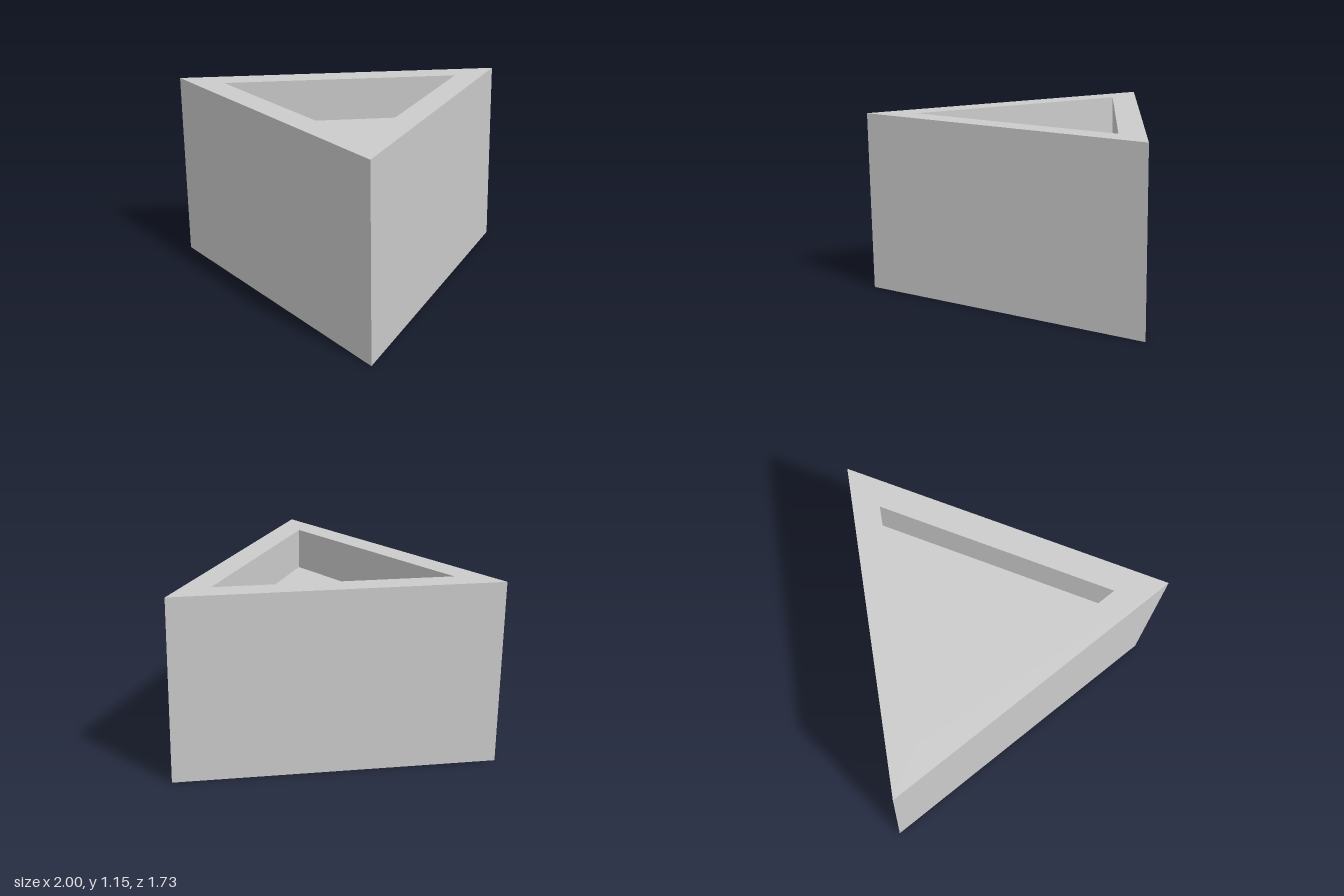
import * as THREE from 'three';

const SIDE = 2;
const R = SIDE / Math.sqrt(3);   // corner radius of the outer triangle
const HEIGHT = 1.155;
const INNER_R = R * 0.725;       // corner radius of the recess
const DEPTH = 0.265;             // depth of the recess

export function createModel() {
  const group = new THREE.Group();
  group.name = 'triangularPlanter';

  // Section from base centre, up the outer wall, over the rim, down to the recess floor
  const section = [
    [0, 0], [R, 0], [R, HEIGHT],
    [INNER_R, HEIGHT], [INNER_R, HEIGHT - DEPTH], [0, HEIGHT - DEPTH],
  ].map(([r, y]) => new THREE.Vector2(r, y));

  // Three segments give the triangular plan, with one corner at the back
  const geometry = new THREE.LatheGeometry(section, 3, Math.PI).toNonIndexed();
  geometry.computeVertexNormals();
  geometry.translate(0, 0, SIDE * Math.sqrt(3) / 4 - R / 2);

  const body = new THREE.Mesh(
    geometry,
    new THREE.MeshStandardMaterial({ color: 0xcccccc, flatShading: true }),
  );
  body.name = 'recessedPrismBody';
  group.add(body);
  return group;
}
